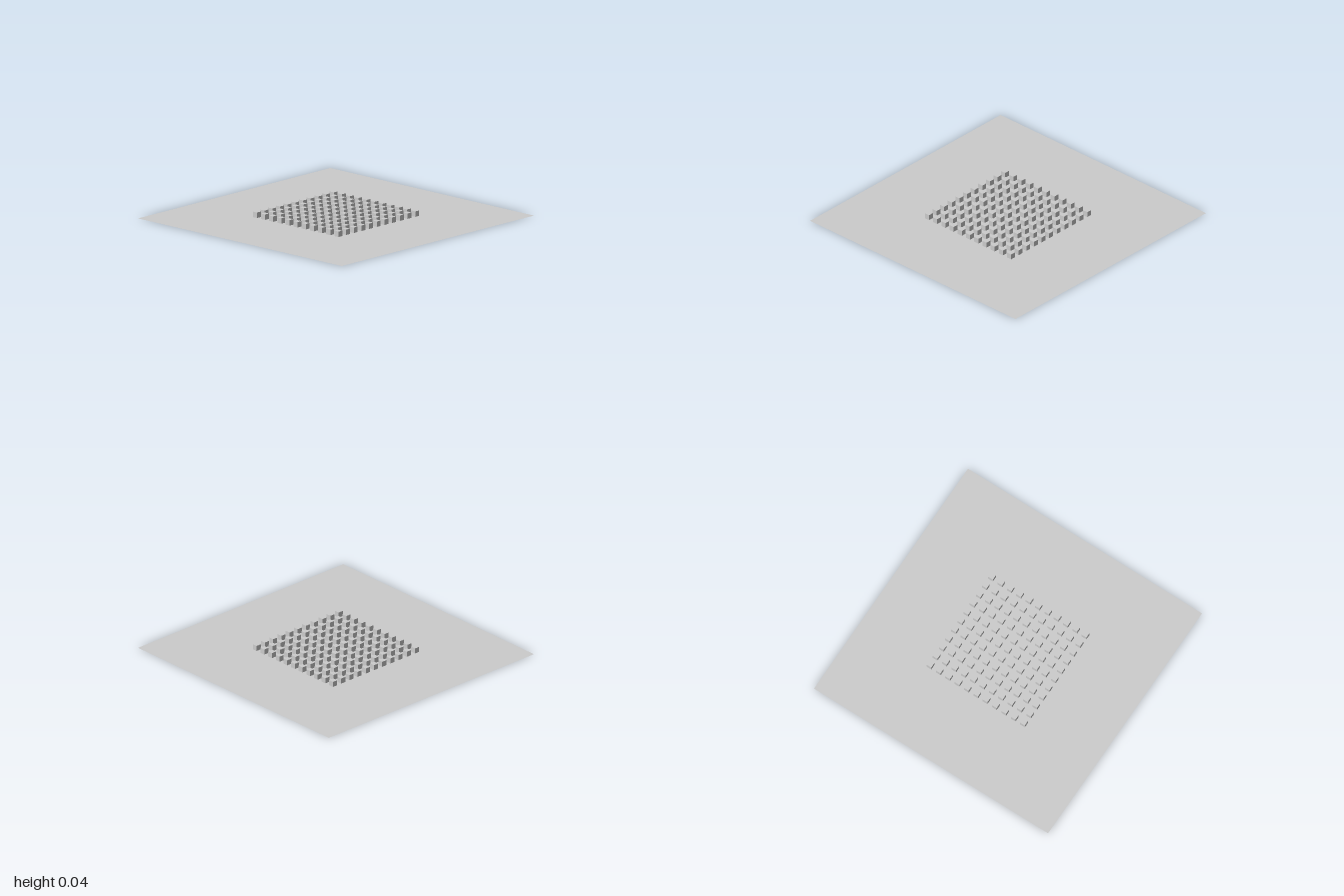
import * as THREE from 'three';

export function createModel() {
  const model = new THREE.Group();
  const material = new THREE.MeshStandardMaterial({ color: 0xcccccc });
  const groundMaterial = new THREE.MeshStandardMaterial({ color: 0xcccccc, side: THREE.DoubleSide });

  // Thin square floor
  const floor = new THREE.Mesh(new THREE.PlaneGeometry(2, 2).rotateX(-Math.PI / 2), groundMaterial);
  floor.name = 'floor';
  model.add(floor);

  // 11 x 11 grid of small cubes hovering just above the floor
  const half = 5, spacing = 0.08, size = 0.04, centreY = 0.024;
  const cubes = new THREE.Group();
  cubes.name = 'cubeGrid';
  const cubeGeometry = new THREE.BoxGeometry(size, size, size);
  for (let i = -half; i <= half; i++) {
    for (let j = -half; j <= half; j++) {
      const cube = new THREE.Mesh(cubeGeometry, material);
      cube.name = 'cube';
      cube.position.set(i * spacing, centreY, j * spacing);
      cubes.add(cube);
    }
  }
  model.add(cubes);
  return model;
}
